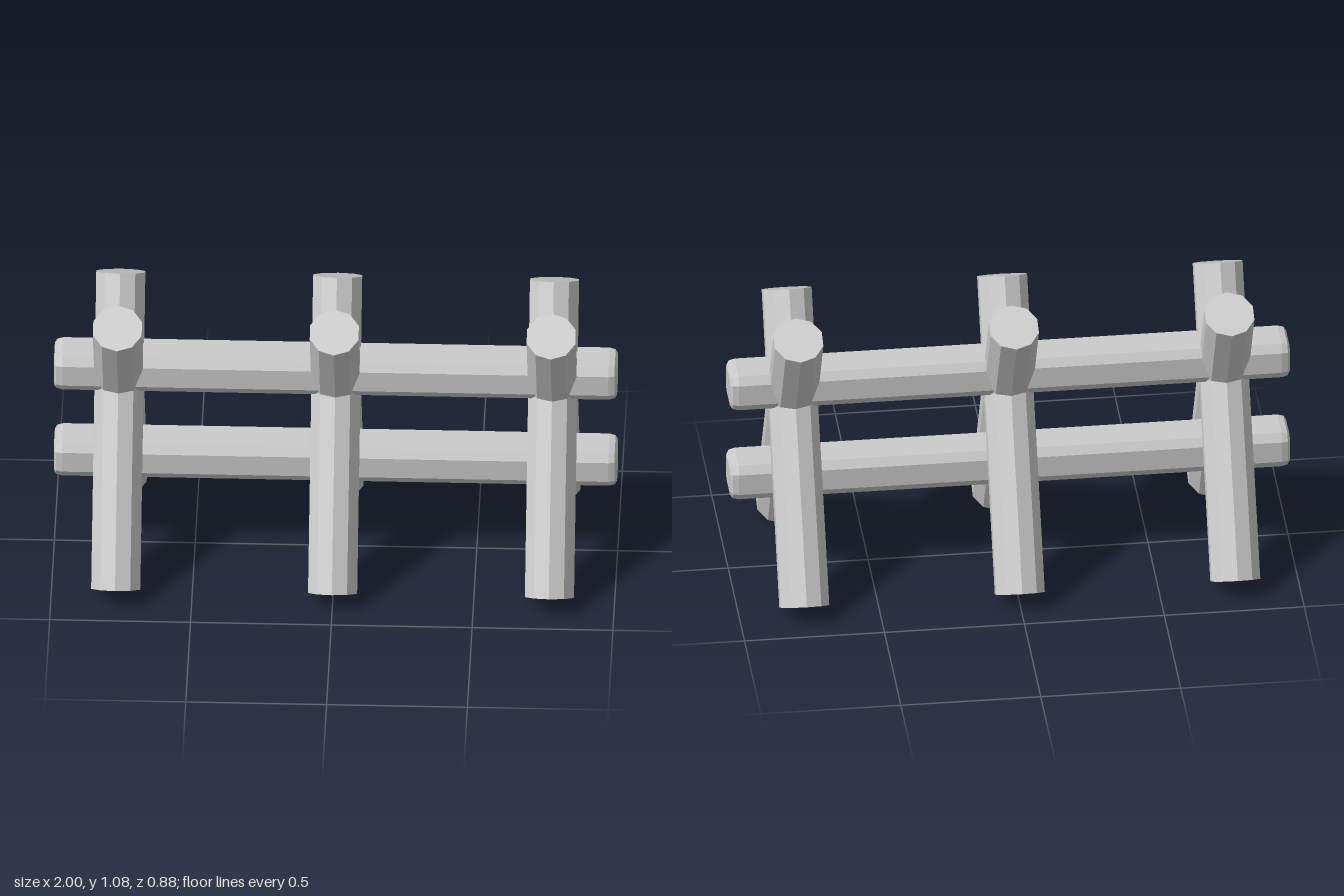
import * as THREE from 'three';

const material = new THREE.MeshStandardMaterial({ color: 0xcccccc, flatShading: true });

// Ten-sided post leaning in the y-z plane; side = +1 puts its foot at the front
function makePost(x, side) {
  const foot = new THREE.Vector3(x, 0.047, 0.36 * side);
  const tip = new THREE.Vector3(x, 1.042, -0.18 * side);
  const axis = tip.clone().sub(foot);
  const post = new THREE.Mesh(new THREE.CylinderGeometry(0.091, 0.091, axis.length(), 10), material);
  post.position.copy(foot).add(tip).multiplyScalar(0.5);
  post.rotation.x = Math.atan2(axis.z, axis.y);
  post.name = side > 0 ? 'frontFootPost' : 'backFootPost';
  return post;
}

// Squared rail with chamfered long edges and softened ends, lying along x
function makeRail(y, name) {
  const bevel = 0.017, depth = 0.03, w = 0.082 - bevel, h = 0.07 - bevel, cw = 0.012, ch = 0.018;
  const profile = new THREE.Shape([
    [w - cw, -h], [w, ch - h], [w, h - ch], [w - cw, h],
    [cw - w, h], [-w, h - ch], [-w, ch - h], [cw - w, -h],
  ].map(([a, b]) => new THREE.Vector2(a, b)));
  const length = 2 - 2 * depth;
  const geometry = new THREE.ExtrudeGeometry(profile, {
    depth: length, bevelEnabled: true, bevelSize: bevel, bevelThickness: depth, bevelSegments: 2,
  });
  geometry.translate(0, 0, -length / 2).rotateY(Math.PI / 2);
  const rail = new THREE.Mesh(geometry, material);
  rail.position.y = y;
  rail.name = name;
  return rail;
}

export function createModel() {
  const model = new THREE.Group();
  model.name = 'crossedPostFence';

  // Three pairs of crossed posts
  for (const x of [-0.77, 0, 0.77]) {
    const pair = new THREE.Group();
    pair.name = 'crossedPosts';
    pair.add(makePost(x, 1), makePost(x, -1));
    model.add(pair);
  }

  // Two rails, one in the crossing and one below it
  model.add(makeRail(0.765, 'upperRail'), makeRail(0.395, 'lowerRail'));
  return model;
}
